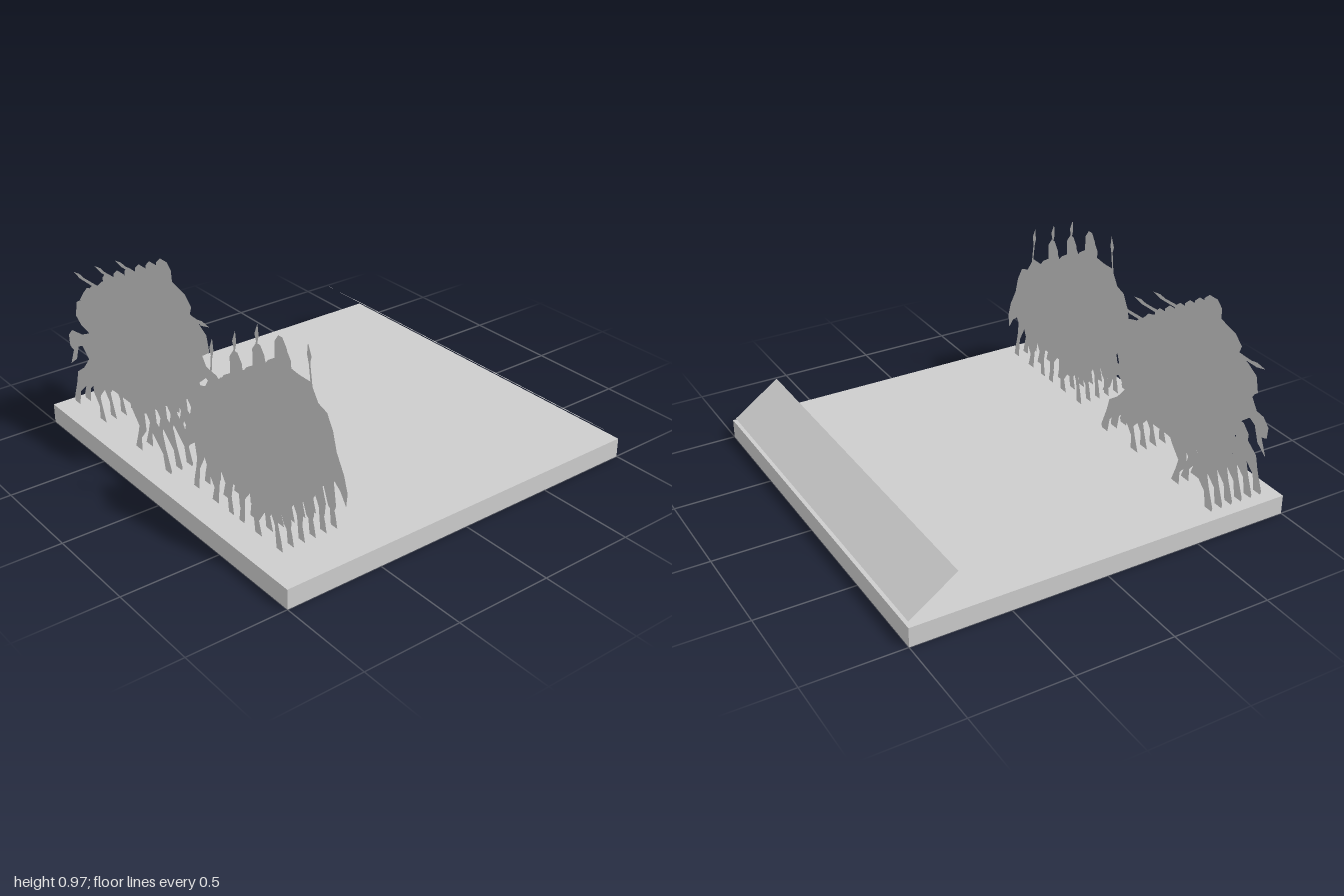
import * as THREE from 'three';

const grey = new THREE.MeshStandardMaterial({ color: 0xcccccc, side: THREE.DoubleSide });
grey.name = 'plain grey';

// Reverse an outline half and mirror it across u = 0
const mirrored = (pts) => pts.map(([u, v]) => [-u, v]).reverse();

const toShape = (pts, hole) => {
  const shape = new THREE.Shape(pts.map(([u, v]) => new THREE.Vector2(u, v)));
  if (hole) shape.holes.push(new THREE.Path(hole.map(([u, v]) => new THREE.Vector2(u, v))));
  return shape;
};

// Charging rider, facing right: fore legs (mirrored for the hind legs)
const chargeLegs = [
  [0.27, 0.42], [0.33, 0.35], [0.4, 0.3], [0.42, 0.23], [0.46, 0.13], [0.455, 0.11], [0.405, 0.11],
  [0.39, 0.19], [0.3, 0.27], [0.27, 0.35], [0.24, 0.34], [0.25, 0.25], [0.2, 0.19], [0.2, 0.12],
  [0.14, 0.12], [0.17, 0.2], [0.185, 0.25], [0.13, 0.31], [0.11, 0.34],
];
const chargeOutline = [
  // tail, rump and cloak
  [-0.465, 0.32], [-0.425, 0.41], [-0.46, 0.42], [-0.465, 0.48], [-0.425, 0.52], [-0.32, 0.535],
  [-0.245, 0.57], [-0.32, 0.585], [-0.37, 0.62], [-0.35, 0.7], [-0.28, 0.74], [-0.215, 0.76],
  [-0.23, 0.8], [-0.18, 0.845], [-0.07, 0.875],
  // helmet and shoulder
  [-0.065, 0.93], [-0.03, 0.96], [0.03, 0.96], [0.065, 0.93], [0.07, 0.875], [0.185, 0.85], [0.235, 0.81],
  // spear
  [0.37, 0.805], [0.41, 0.812], [0.468, 0.803], [0.41, 0.788], [0.235, 0.79],
  // horse head and chest
  [0.345, 0.76], [0.385, 0.72], [0.425, 0.67], [0.4, 0.63], [0.435, 0.58], [0.43, 0.54], [0.35, 0.545],
  [0.32, 0.58], [0.24, 0.575], [0.265, 0.53],
  ...chargeLegs, ...mirrored(chargeLegs),
  [-0.33, 0.47], [-0.37, 0.45], [-0.4, 0.37],
];
const chargeHole = [[0.08, 0.51], [0.1, 0.52], [0.1, 0.5], [0.085, 0.495]];

// Walking rider, facing right
const walkLegs = [
  [0.3, 0.36], [0.31, 0.27], [0.33, 0.2], [0.34, 0.15], [0.295, 0.15], [0.285, 0.26], [0.24, 0.34],
  [0.21, 0.28], [0.17, 0.22], [0.19, 0.15], [0.14, 0.15], [0.13, 0.24], [0.11, 0.33], [0.07, 0.28],
  [0.06, 0.15], [0.02, 0.15], [0.035, 0.24], [0.02, 0.31],
];
const walkOutline = [
  // tail and rump
  [-0.4, 0.29], [-0.41, 0.36], [-0.385, 0.44], [-0.335, 0.53], [-0.31, 0.62], [-0.27, 0.69], [-0.21, 0.71],
  [-0.17, 0.77],
  // upright spear
  [-0.155, 0.88], [-0.165, 0.91], [-0.14, 0.967], [-0.133, 0.91], [-0.145, 0.87], [-0.155, 0.79],
  // rider
  [-0.08, 0.79], [0.0, 0.8], [0.01, 0.88], [0.04, 0.92], [0.07, 0.92], [0.1, 0.88], [0.1, 0.8],
  [0.15, 0.77], [0.2, 0.71], [0.27, 0.69],
  // lowered neck and head
  [0.31, 0.61], [0.335, 0.52], [0.39, 0.43], [0.405, 0.32], [0.385, 0.27], [0.35, 0.3], [0.32, 0.38],
  ...walkLegs, ...mirrored(walkLegs),
  [-0.32, 0.38], [-0.36, 0.35],
];
const walkHole = [[0.21, 0.555], [0.26, 0.565], [0.27, 0.535], [0.22, 0.53]];

// Fallen riders, outlined in x and z
const fallenA = [
  [-0.62, -0.64], [-0.48, -0.6], [-0.38, -0.545], [-0.22, -0.55], [-0.31, -0.645], [-0.29, -0.64],
  [-0.19, -0.56], [-0.05, -0.58], [0.02, -0.55], [0.04, -0.45], [0.11, -0.445], [0.11, -0.395],
  [-0.01, -0.385], [-0.01, -0.34], [0.08, -0.24], [0.06, -0.25], [-0.04, -0.35], [-0.1, -0.3],
  [-0.25, -0.265], [-0.4, -0.26], [-0.53, -0.28], [-0.56, -0.32], [-0.49, -0.37], [-0.54, -0.385],
  [-0.61, -0.34], [-0.61, -0.4], [-0.41, -0.415], [-0.4, -0.48], [-0.46, -0.55], [-0.62, -0.6],
];
const fallenB = [
  [0.21, -0.575], [0.46, -0.59], [0.65, -0.585], [0.68, -0.625], [0.72, -0.625], [0.77, -0.6],
  [0.94, -0.6], [0.94, -0.575], [0.82, -0.555], [0.85, -0.515], [0.92, -0.515], [0.95, -0.48],
  [0.91, -0.43], [0.85, -0.425], [0.79, -0.45], [0.74, -0.4], [0.62, -0.32], [0.48, -0.27],
  [0.35, -0.255], [0.22, -0.28], [0.26, -0.33], [0.38, -0.375], [0.3, -0.39], [0.22, -0.35],
  [0.22, -0.41], [0.41, -0.445], [0.45, -0.475], [0.38, -0.51], [0.21, -0.53],
];

export function createModel() {
  const model = new THREE.Group();
  const add = (geometry, name, parent = model) => {
    const mesh = new THREE.Mesh(geometry, grey);
    mesh.name = name;
    parent.add(mesh);
    return mesh;
  };

  // Square base
  add(new THREE.BoxGeometry(2, 0.1, 2), 'base').position.y = 0.05;

  // Sloping panel along the back edge, its high side towards the front
  const panel = add(new THREE.PlaneGeometry(1.96, Math.hypot(0.24, 0.17)), 'slopingPanel');
  panel.rotation.x = -Math.PI / 2 + Math.atan2(0.17, 0.24);
  panel.position.set(0, 0.202, -0.87);
  panel.rotation.x = -Math.PI / 2 - Math.atan2(0.17, 0.24);

  // Two ranks of flat riders, facing right and left in turn
  const addRank = (name, outline, hole, x) => {
    const rank = new THREE.Group();
    rank.name = name + 'Rank';
    const right = new THREE.ShapeGeometry(toShape(outline, hole));
    const left = new THREE.ShapeGeometry(toShape(mirrored(outline), mirrored(hole)));
    for (let i = 0; i < 6; i++) {
      add(i % 2 ? left : right, name, rank).position.z = 0.9 - i * 0.058;
    }
    rank.position.x = x;
    model.add(rank);
  };
  addRank('chargingRider', chargeOutline, chargeHole, -0.495);
  addRank('walkingRider', walkOutline, walkHole, 0.495);

  // Fallen riders lying flat on the base
  for (const outline of [fallenA, fallenB]) {
    const fallen = add(new THREE.ShapeGeometry(toShape(outline.map(([x, z]) => [x, -z]))), 'fallenRider');
    fallen.rotation.x = -Math.PI / 2;
    fallen.position.y = 0.104;
  }
  return model;
}
